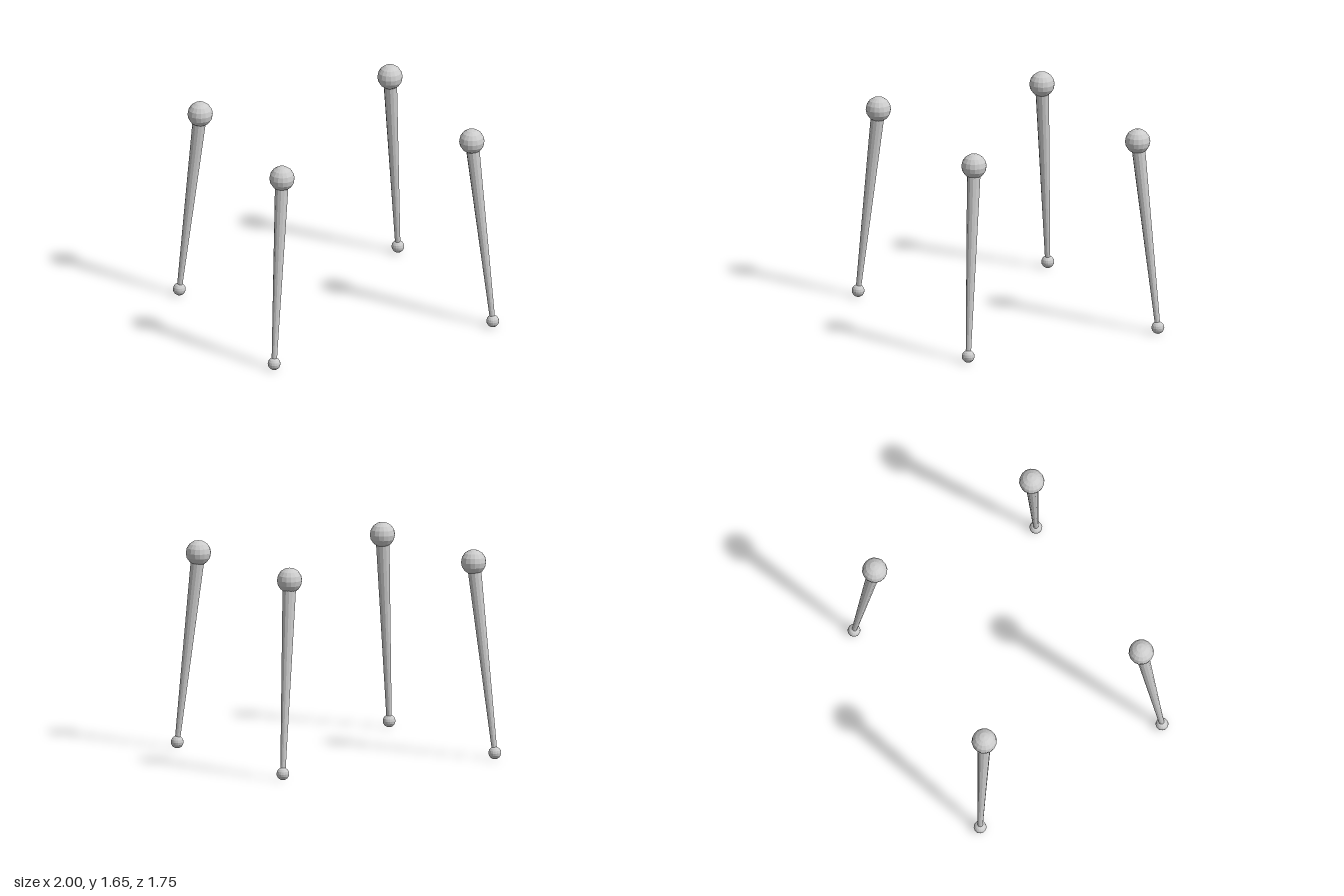
import * as THREE from 'three';

export function createModel() {
  const group = new THREE.Group();
  const grey = new THREE.MeshStandardMaterial({ color: 0xcccccc, flatShading: true });
  grey.name = 'lightGrey';

  const add = (parent, geometry, name, position) => {
    const mesh = new THREE.Mesh(geometry, grey);
    mesh.name = name;
    mesh.position.copy(position);
    parent.add(mesh);
    return mesh;
  };

  // Four splayed, tapered legs, each with a ball on top and a small ball foot
  const up = new THREE.Vector3(0, 1, 0);
  for (const [sz, end] of [[1, 'front'], [-1, 'back']]) {
    for (const [sx, side] of [[1, 'Left'], [-1, 'Right']]) {
      const leg = new THREE.Group();
      leg.name = `${end}${side}Leg`;
      group.add(leg);

      const top = new THREE.Vector3(sx * 0.825, 1.55, sz * 0.713);
      const foot = new THREE.Vector3(sx * 0.95, 0.05, sz * 0.826);
      const axis = top.clone().sub(foot);

      add(leg, new THREE.SphereGeometry(0.099, 16, 8), 'topBall', top);
      add(leg, new THREE.SphereGeometry(0.05, 16, 8), 'footBall', foot);
      const shaft = add(leg, new THREE.CylinderGeometry(0.054, 0.02, axis.length(), 12),
        'shaft', top.clone().add(foot).multiplyScalar(0.5));
      shaft.quaternion.setFromUnitVectors(up, axis.normalize());
    }
  }
  return group;
}
